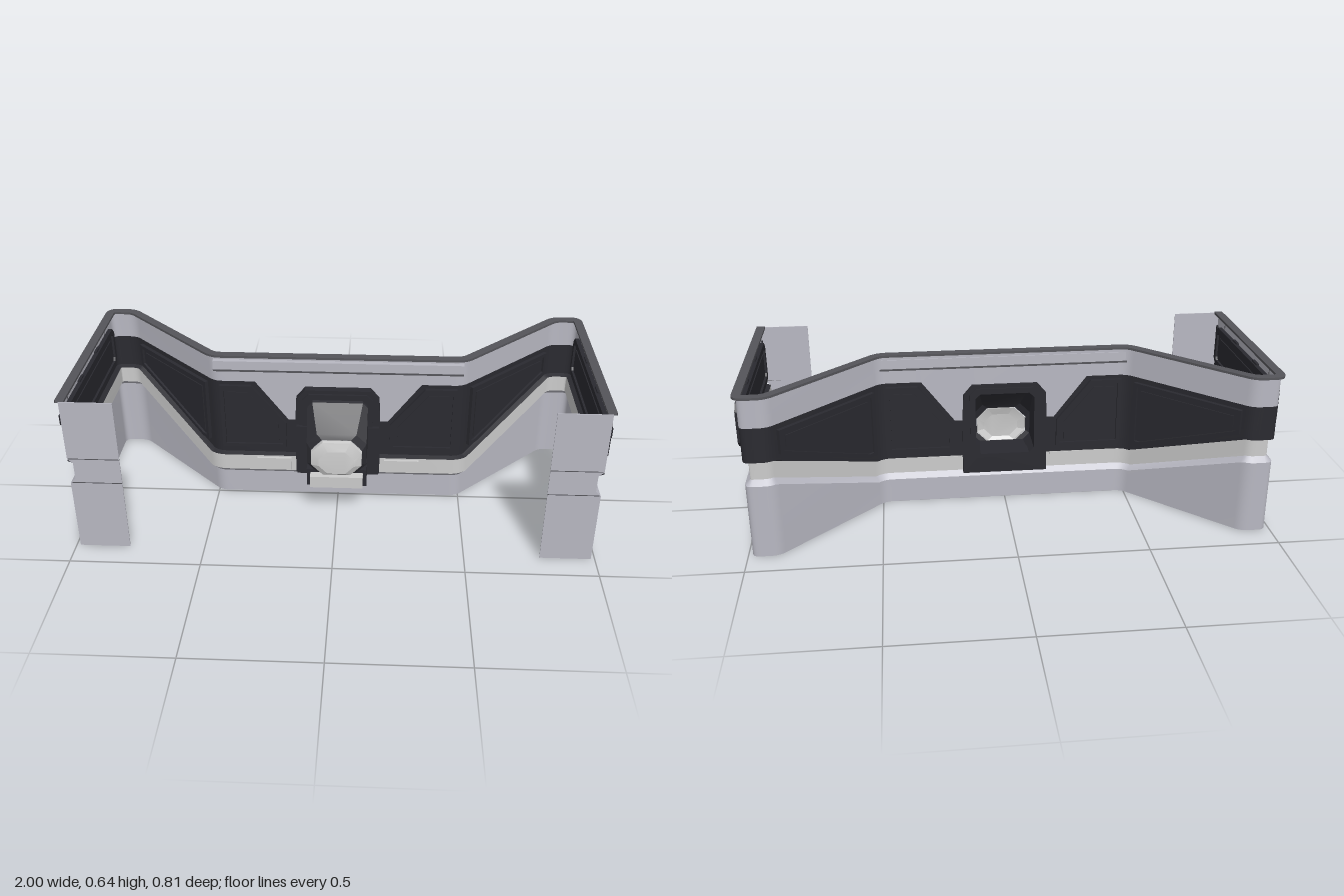
import * as THREE from 'three';
import { toCreasedNormals } from 'three/addons/utils/BufferGeometryUtils.js';

const mat = (color) => new THREE.MeshStandardMaterial({ color, side: THREE.DoubleSide });
const light = mat(0xb8b8c2), dark = mat(0x2a2a30), pale = mat(0xcccccc), trim = mat(0x55555a);

function addMesh(parent, name, geometry, material, x = 0, y = 0, z = 0) {
  const m = new THREE.Mesh(geometry, material);
  m.name = name;
  m.position.set(x, y, z);
  parent.add(m);
  return m;
}
const box = (parent, name, material, w, h, d, x, y, z) =>
  addMesh(parent, name, new THREE.BoxGeometry(w, h, d), material, x, y, z);

// Plan of the wall: straight sides, rounded corners, extra stations along the middle
function planPath() {
  const corners = [[0.49, -0.008], [0.885, -0.395], [0.985, -0.395], [0.985, 0.395]]
    .map(([x, z]) => new THREE.Vector2(x, z));
  const half = [0.12, 0.121, 0.2, 0.33].map((x) => new THREE.Vector2(x, -0.008));
  let prev = half[3];
  for (let i = 0; i < 3; i++) {
    const c = corners[i], next = corners[i + 1], r = 0.03;
    const a = prev.clone().sub(c).setLength(r).add(c);
    const b = next.clone().sub(c).setLength(r).add(c);
    half.push(...new THREE.QuadraticBezierCurve(a, c, b).getPoints(5));
    prev = c;
  }
  half.push(corners[3]);
  return [...half.map((p) => new THREE.Vector2(-p.x, p.y)).reverse(), ...half];
}

// Outward direction at each station, mitred
function outwardOf(path) {
  const seg = path.slice(1).map((p, i) => {
    const d = p.clone().sub(path[i]).normalize();
    return new THREE.Vector2(d.y, -d.x);
  });
  return path.map((_, i) => {
    const a = seg[Math.max(i - 1, 0)], b = seg[Math.min(i, seg.length - 1)];
    const n = a.clone().add(b).normalize();
    return n.divideScalar(n.dot(a));
  });
}

// Sweep rows of [height rule, outward offset] along the plan
function sweep(path, out, rows, skip = () => false) {
  const pos = [], index = [], n = rows.length;
  path.forEach((p, i) => rows.forEach(([h, o]) => {
    const x = Math.abs(p.x);
    pos.push(p.x + out[i].x * o, h(x), p.y + out[i].y * o);
  }));
  for (let i = 0; i < path.length - 1; i++) {
    if (skip(path[i], path[i + 1])) continue;
    for (let j = 0; j < n - 1; j++) {
      const a = i * n + j, b = a + n;
      index.push(a, a + 1, b, b, a + 1, b + 1);
    }
  }
  const g = new THREE.BufferGeometry();
  g.setAttribute('position', new THREE.Float32BufferAttribute(pos, 3));
  g.setIndex(index);
  return toCreasedNormals(g, 0.4);
}

// Move every side of a counter-clockwise polygon inwards
function inset(pts, d) {
  return pts.map((p, i) => {
    const a = pts[(i + pts.length - 1) % pts.length], b = pts[(i + 1) % pts.length];
    const u = p.clone().sub(a).normalize(), v = b.clone().sub(p).normalize();
    const n1 = new THREE.Vector2(-u.y, u.x), n = n1.clone().add(new THREE.Vector2(-v.y, v.x)).normalize();
    return p.clone().addScaledVector(n, d / n.dot(n1));
  });
}

function slab(pts, depth, hole) {
  const s = new THREE.Shape(pts);
  if (hole) s.holes.push(new THREE.Path(hole));
  return new THREE.ExtrudeGeometry(s, { depth, bevelEnabled: false }).translate(0, 0, -depth / 2);
}

// Dark panel with a raised rim and a raised centre, showing on both sides of the wall
function panel(parent, name, list, rim = 0.015) {
  const g = new THREE.Group(), pts = list.map(([x, y]) => new THREE.Vector2(x, y));
  g.name = name;
  addMesh(g, 'panelPlate', slab(pts, 0.012), dark);
  addMesh(g, 'panelRim', slab(pts, 0.03, inset(pts, rim)), dark);
  addMesh(g, 'panelCentre', slab(inset(pts, rim * 2), 0.02), dark);
  parent.add(g);
  return g;
}

// Chamfered rectangle corners
const chamfered = (w, y0, y1, c) => [
  [w - c, y0], [w, y0 + c], [w, y1 - c], [w - c, y1],
  [-w + c, y1], [-w, y1 - c], [-w, y0 + c], [-w + c, y0],
];

// Skin over chamfered sections [z, half width, bottom, top, chamfer]
function loft(sections, cap) {
  const pos = [], index = [];
  sections.forEach(([z, ...r]) => chamfered(...r).forEach(([x, y]) => pos.push(x, y, z)));
  for (let i = 0; i < sections.length - 1; i++) for (let j = 0; j < 8; j++) {
    const a = i * 8 + j, b = i * 8 + (j + 1) % 8;
    index.push(a, b, a + 8, b, b + 8, a + 8);
  }
  const e = (sections.length - 1) * 8;
  if (cap) for (let j = 1; j < 7; j++) index.push(e, e + j, e + j + 1);
  const g = new THREE.BufferGeometry();
  g.setAttribute('position', new THREE.Float32BufferAttribute(pos, 3));
  g.setIndex(index);
  return toCreasedNormals(g, 0.3);
}

export function createModel() {
  const model = new THREE.Group();
  const path = planPath(), out = outwardOf(path);

  // Height rules: the groove drops towards the middle, the dark band steps down
  const drop = (x) => 0.19 * (1 - THREE.MathUtils.clamp((x - 0.53) / 0.34, 0, 1));
  const at = (y) => (x) => y - drop(x);
  const flat = (y) => () => y;
  const darkTop = (x) => x < 0.1205 ? 0.47
    : 0.35 + 0.17 * THREE.MathUtils.clamp((x - 0.2) / 0.13, 0, 1);
  const opening = (a, b) => Math.abs(a.x) < 0.1205 && Math.abs(b.x) < 0.1205;

  // Wall bands from bottom to top
  const wall = new THREE.Group();
  wall.name = 'wall';
  model.add(wall);
  addMesh(wall, 'lowerWall', sweep(path, out, [[flat(0), 0], [at(0.29), 0], [at(0.31), -0.02]]), light);
  addMesh(wall, 'groove', sweep(path, out, [[at(0.31), -0.02], [at(0.378), -0.02]]), pale);
  addMesh(wall, 'darkBand', sweep(path, out, [[at(0.378), -0.02], [at(0.385), 0], [at(0.395), 0]]), dark);
  addMesh(wall, 'darkBandFace', sweep(path, out, [[at(0.395), 0], [darkTop, 0]], opening), dark);
  addMesh(wall, 'upperWall', sweep(path, out, [[darkTop, 0], [flat(0.632), 0]]), light);
  addMesh(wall, 'topLip', sweep(path, out,
    [[flat(0.632), -0.02], [flat(0.632), 0.014], [flat(0.641), 0.014], [flat(0.641), -0.02], [flat(0.632), -0.02]]), trim);
  box(wall, 'upperLedge', light, 0.98, 0.04, 0.024, 0, 0.597, 0);
  box(wall, 'upperLedgeEdge', trim, 0.98, 0.007, 0.028, 0, 0.577, 0);

  for (const s of [1, -1]) {
    const side = new THREE.Group();
    side.name = s > 0 ? 'leftHalf' : 'rightHalf';
    side.scale.x = s;
    model.add(side);

    // Front flap with the groove notched into its outer edge
    const flap = [[0.79, 0], [0.985, 0], [0.985, 0.29], [0.965, 0.31], [0.965, 0.378], [0.985, 0.395], [0.985, 0.636], [0.79, 0.636]];
    addMesh(side, 'frontFlap', slab(flap.map(([x, y]) => new THREE.Vector2(x, y)), 0.004), light, 0, 0, 0.396);
    for (const y of [0.293, 0.397]) box(side, 'flapSeam', trim, 0.19, 0.003, 0.005, 0.885, y, 0.3965);
    box(side, 'edgeSlot', dark, 0.012, 0.04, 0.012, 0.985, 0.56, 0.389);

    // Long panel on the side wall
    const sidePanel = panel(side, 'sidePanel', chamfered(0.352, 0.42, 0.588, 0.025), 0.022);
    sidePanel.rotation.y = Math.PI / 2;
    sidePanel.position.set(0.983, 0, 0.008);
    for (const z of [0.13, -0.115]) box(side, 'panelTab', dark, 0.018, 0.01, 0.05, 0.984, 0.589, z);
    for (const z of [0.293, -0.255]) box(side, 'wallSeam', trim, 0.004, 0.04, 0.003, 0.985, 0.61, z);

    // Panel on the slanted wall
    const slanted = panel(side, 'slantedPanel',
      [[-0.23, 0.235], [-0.19, 0.235], [0.235, 0.405], [0.235, 0.5], [-0.23, 0.5]]);
    slanted.position.set(0.6875, 0, -0.2015);
    slanted.rotation.y = Math.atan2(0.387, 0.395);

    // Stepped panel on the middle wall
    panel(side, 'steppedPanel',
      [[0.21, 0.225], [0.47, 0.225], [0.47, 0.505], [0.345, 0.505], [0.21, 0.34]]).position.z = -0.008;
    box(side, 'grooveBlock', pale, 0.14, 0.055, 0.014, 0.26, 0.155, 0.017);
  }

  // Middle housing: frame, sloping hood, faceted nose and sill
  const housing = new THREE.Group();
  housing.name = 'housing';
  model.add(housing);
  const vec = (list) => list.map(([x, y]) => new THREE.Vector2(x, y));
  const outline = [[-0.17, 0.12], [0.17, 0.12], [0.17, 0.34], [0.165, 0.46], [0.13, 0.502], [-0.13, 0.502], [-0.165, 0.46], [-0.17, 0.34]];
  const hole = vec(chamfered(0.118, 0.205, 0.465, 0.02));
  addMesh(housing, 'housingFrame', slab(vec(outline), 0.045, hole), dark, 0, 0, 0.002);
  addMesh(housing, 'frameRim', slab(vec(chamfered(0.14, 0.19, 0.488, 0.025)), 0.06, hole), dark, 0, 0, 0.004);
  addMesh(housing, 'hood', loft([
    [0, 0.12, 0.2, 0.467, 0.02], [0.035, 0.12, 0.2, 0.455, 0.02],
    [0.12, 0.118, 0.185, 0.36, 0.04], [0.13, 0.102, 0.188, 0.34, 0.045]]), dark);
  addMesh(housing, 'nose', loft([
    [0.128, 0.1, 0.188, 0.338, 0.045], [0.143, 0.1, 0.188, 0.335, 0.045], [0.155, 0.07, 0.2, 0.3, 0.035]], true), pale);
  box(housing, 'sillBase', dark, 0.24, 0.075, 0.12, 0, 0.16, 0.06);
  box(housing, 'sill', pale, 0.21, 0.05, 0.04, 0, 0.158, 0.135);
  for (const s of [1, -1]) box(housing, 'frameFoot', dark, 0.045, 0.22, 0.03, s * 0.143, 0.235, 0.025);

  return model;
}
